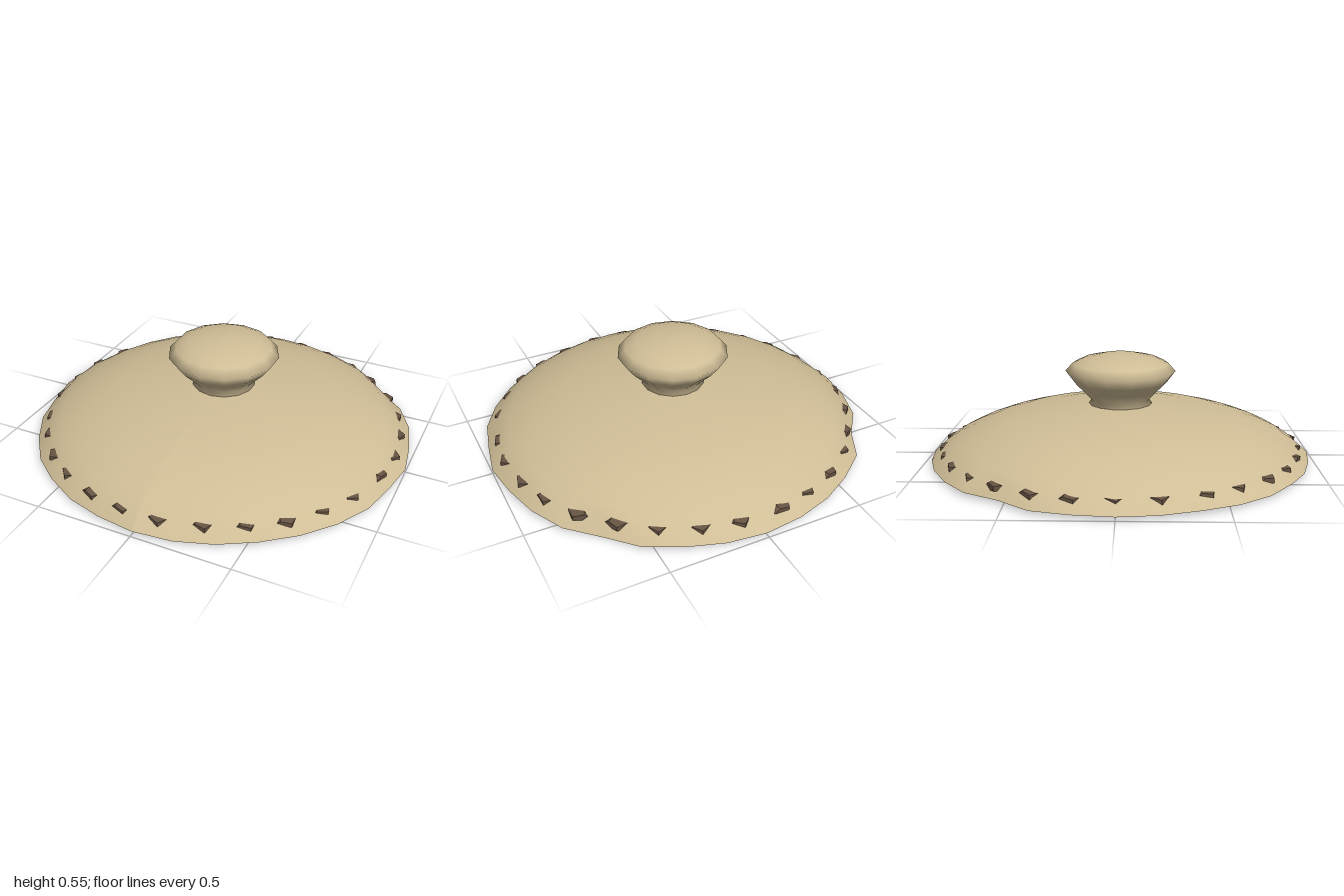
import * as THREE from 'three';

const SIDES = 32;
const STONES = 30;

// Repeatable pseudo-random value in 0..1 for an index
function noise(i) {
  const s = Math.sin(i * 12.9898 + 4.1) * 43758.5453;
  return s - Math.floor(s);
}

function lathe(profile, sides) {
  return new THREE.LatheGeometry(profile.map(([r, y]) => new THREE.Vector2(r, y)), sides);
}

// Roughen the outer rim, with two chipped spots at the back
function wearRim(geometry) {
  const p = geometry.attributes.position;
  for (let i = 0; i < p.count; i++) {
    const x = p.getX(i), z = p.getZ(i);
    const r = Math.hypot(x, z);
    const k = (Math.round(Math.atan2(x, z) / (Math.PI * 2) * SIDES) + SIDES) % SIDES;
    const t = THREE.MathUtils.clamp((r - 0.9) / 0.1, 0, 1);
    const chipped = k === 12 || k === 21;
    const pull = k % 8 === 0 ? 0 : chipped ? 0.04 : 0.015 * noise(k);
    const drop = k === 12 ? 0.02 : 0.007 * noise(k + 50);
    const s = 1 - pull * t;
    p.setXYZ(i, x * s, p.getY(i) - drop * t, z * s * 0.987);
  }
  geometry.computeVertexNormals();
  return geometry;
}

export function createModel() {
  const model = new THREE.Group();
  const clay = new THREE.MeshStandardMaterial({ color: 0xcfbd96 });
  clay.name = 'tan clay';
  const dark = new THREE.MeshStandardMaterial({ color: 0x665343, flatShading: true });
  dark.name = 'dark brown stone';

  function add(name, geometry, material, parent = model) {
    const mesh = new THREE.Mesh(geometry, material);
    mesh.name = name;
    parent.add(mesh);
    return mesh;
  }

  // Shallow dome, outside and inside, open at the crown
  const outer = [[1, 0.02], [0.93, 0.08], [0.87, 0.117], [0.78, 0.16], [0.68, 0.196],
    [0.57, 0.226], [0.4, 0.256], [0.25, 0.271], [0.14, 0.28]];
  const inner = outer.map(([r, y], i) => (i ? [r, y - 0.014] : [r, y])).reverse();
  add('domeOutside', wearRim(lathe(outer, SIDES)), clay);
  add('domeInside', wearRim(lathe(inner, SIDES)), clay);

  // Hollow knob on the crown
  const knobProfile = [[0.14, 0.264], [0.165, 0.28], [0.152, 0.3], [0.2, 0.35], [0.245, 0.395],
    [0.287, 0.45], [0.25, 0.492], [0.19, 0.52], [0.09, 0.541], [0, 0.545]];
  const knob = lathe(knobProfile, 14);
  add('knob', knob, clay);

  // Knob lining: the same skin turned to be seen through the crown opening
  const lining = knob.clone();
  lining.setIndex(Array.from(knob.index.array).reverse());
  lining.scale(0.985, 0.995, 0.985);
  add('knobLining', lining, clay);

  // Ring of rough stones set under the rim, tips just breaking through
  const ring = new THREE.Group();
  ring.name = 'stoneRing';
  model.add(ring);
  for (let i = 0; i < STONES; i++) {
    const a = (i / STONES) * Math.PI * 2 - 0.1 + (noise(i) - 0.5) * 0.04;
    const stone = new THREE.DodecahedronGeometry(1, 0);
    stone.rotateY(noise(i + 9) * 0.5);
    stone.scale(0.074, 0.03, 0.08);
    const mesh = add('stone', stone, dark, ring);
    const r = 0.882 + (noise(i + 30) - 0.5) * 0.01;
    mesh.position.set(Math.sin(a) * r, 0.06, Math.cos(a) * r * 0.987);
    mesh.rotation.y = a;
  }
  return model;
}
